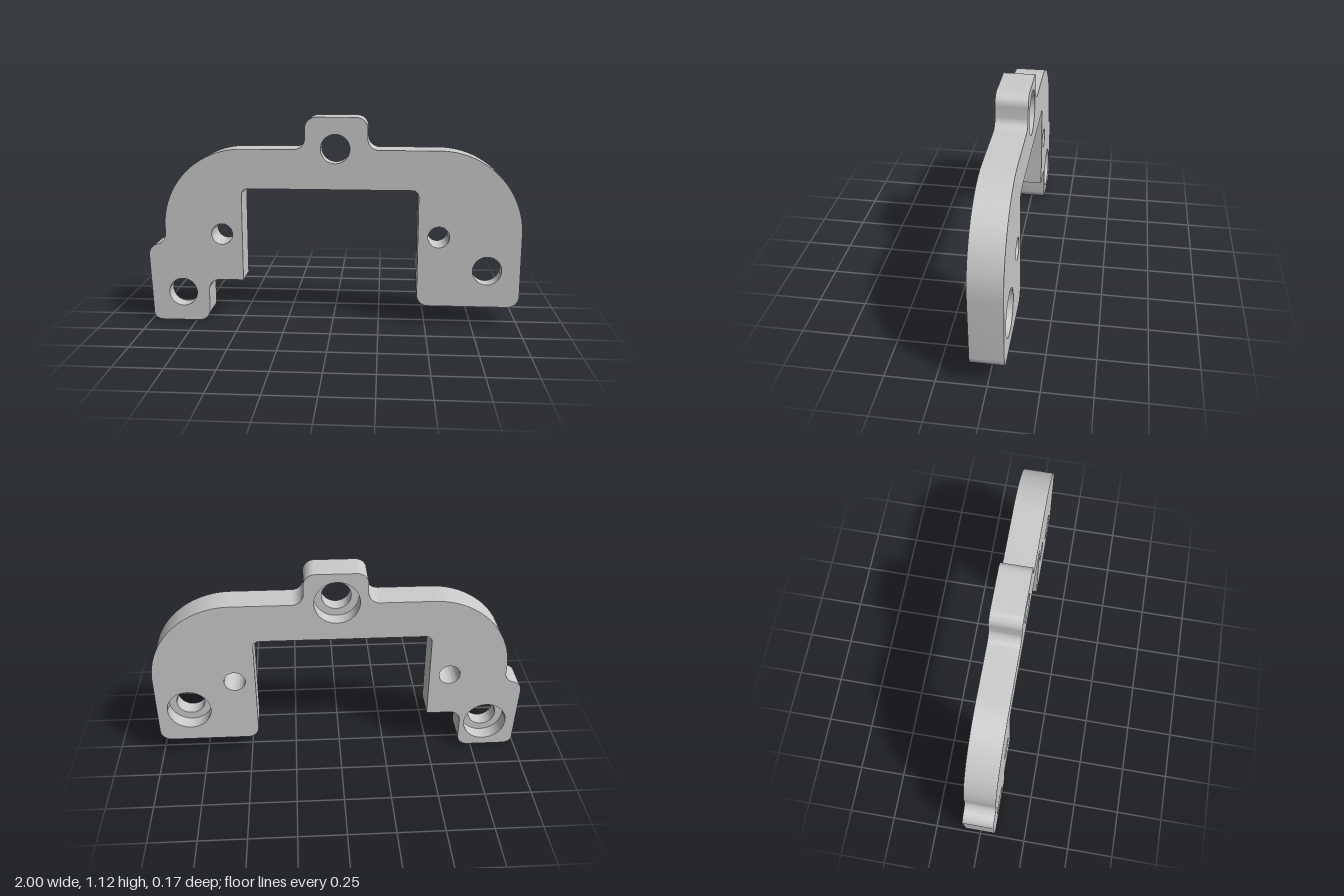
import * as THREE from 'three';
import { toCreasedNormals } from 'three/addons/utils/BufferGeometryUtils.js';

const HALF = 0.0825; // half the plate thickness
const LEDGE = -0.002; // z of the counterbore floor
const V = (x, y) => new THREE.Vector2(x, y);

// Points along an arc, angles in degrees
function arc(cx, cy, r, from, to, n) {
  return Array.from({ length: n + 1 }, (_, i) => {
    const a = THREE.MathUtils.degToRad(from + ((to - from) * i) / n);
    return V(cx + r * Math.cos(a), cy + r * Math.sin(a));
  });
}

const circle = ([x, y], r) => arc(x, y, r, 0, -360, 48).slice(0, -1); // clockwise

// Right-angled polygon with rounded corners, given as [x, y, radius]
function roundedPath(corners) {
  const pts = [];
  corners.forEach(([x, y, r], i) => {
    const p = V(x, y);
    if (!r) return pts.push(p);
    const [ax, ay] = corners.at(i - 1);
    const [bx, by] = corners[(i + 1) % corners.length];
    const u = V(ax - x, ay - y).normalize();
    const v = V(bx - x, by - y).normalize();
    const n = r > 0.2 ? 32 : 10;
    for (let k = 0; k <= n; k++) {
      const t = (k / n) * Math.PI / 2;
      pts.push(p.clone()
        .addScaledVector(u, r * (1 - Math.sin(t)))
        .addScaledVector(v, r * (1 - Math.cos(t))));
    }
  });
  return pts;
}

// Flat face with holes, facing +z or (flipped) -z
function addFace(out, contour, holes, z, flip) {
  const all = contour.concat(...holes);
  for (const tri of THREE.ShapeUtils.triangulateShape(contour, holes)) {
    const order = flip ? [...tri].reverse() : tri;
    for (const i of order) out.push(all[i].x, all[i].y, z);
  }
}

// Side wall along a closed loop: counter-clockwise faces out, clockwise faces in
function addWall(out, loop, z0, z1) {
  loop.forEach((a, i) => {
    const b = loop[(i + 1) % loop.length];
    out.push(a.x, a.y, z0, b.x, b.y, z0, b.x, b.y, z1);
    out.push(a.x, a.y, z0, b.x, b.y, z1, a.x, a.y, z1);
  });
}

export function createModel() {
  // Arch outline, counter-clockwise from the foot
  const outline = roundedPath([
    [-1, 0, 0.06], [-0.675, 0, 0.06], [-0.675, 0.235, 0.06], [-0.485, 0.235, 0],
    [-0.485, 0.74, 0.035], [0.455, 0.74, 0.035],
    [0.455, 0.11, 0.06], [1, 0.11, 0.06],
    [1, 0.95, 0.44],
    [0.185, 0.95, 0.06], [0.185, 1.12, 0.06], [-0.145, 1.12, 0.06], [-0.145, 0.95, 0.06],
    [-0.905, 0.95, 0.42], [-0.905, 0.487, 0],
  ]);
  outline.pop();
  // S-shaped shoulder above the foot
  outline.push(...arc(-0.965, 0.487, 0.06, 0, -78, 10));
  outline.push(...arc(-0.94, 0.37, 0.06, 102, 180, 10).slice(1));

  const pins = [[-0.595, 0.49], [0.565, 0.49]].map((c) => circle(c, 0.057));
  const boltCentres = [[0.015, 0.955], [-0.82, 0.16], [0.825, 0.31]];
  const bolts = boltCentres.map((c) => circle(c, 0.077));
  const bores = boltCentres.map((c) => circle(c, 0.118));

  const out = [];
  addFace(out, outline, [...pins, ...bolts], HALF, false);
  addFace(out, outline, [...pins, ...bores], -HALF, true);
  addWall(out, outline, -HALF, HALF);
  pins.forEach((p) => addWall(out, p, -HALF, HALF));

  // Bolt holes with counterbores sunk from the back
  bolts.forEach((bolt, i) => {
    addWall(out, bolt, LEDGE, HALF);
    addWall(out, bores[i], -HALF, LEDGE);
    addFace(out, [...bores[i]].reverse(), [bolt], LEDGE, true);
  });

  const geometry = new THREE.BufferGeometry();
  geometry.setAttribute('position', new THREE.Float32BufferAttribute(out, 3));
  const bracket = new THREE.Mesh(
    toCreasedNormals(geometry, 0.6),
    new THREE.MeshStandardMaterial({ color: 0xcccccc })
  );
  bracket.name = 'archBracket';

  const group = new THREE.Group();
  group.name = 'mountingBracket';
  group.add(bracket);
  return group;
}
